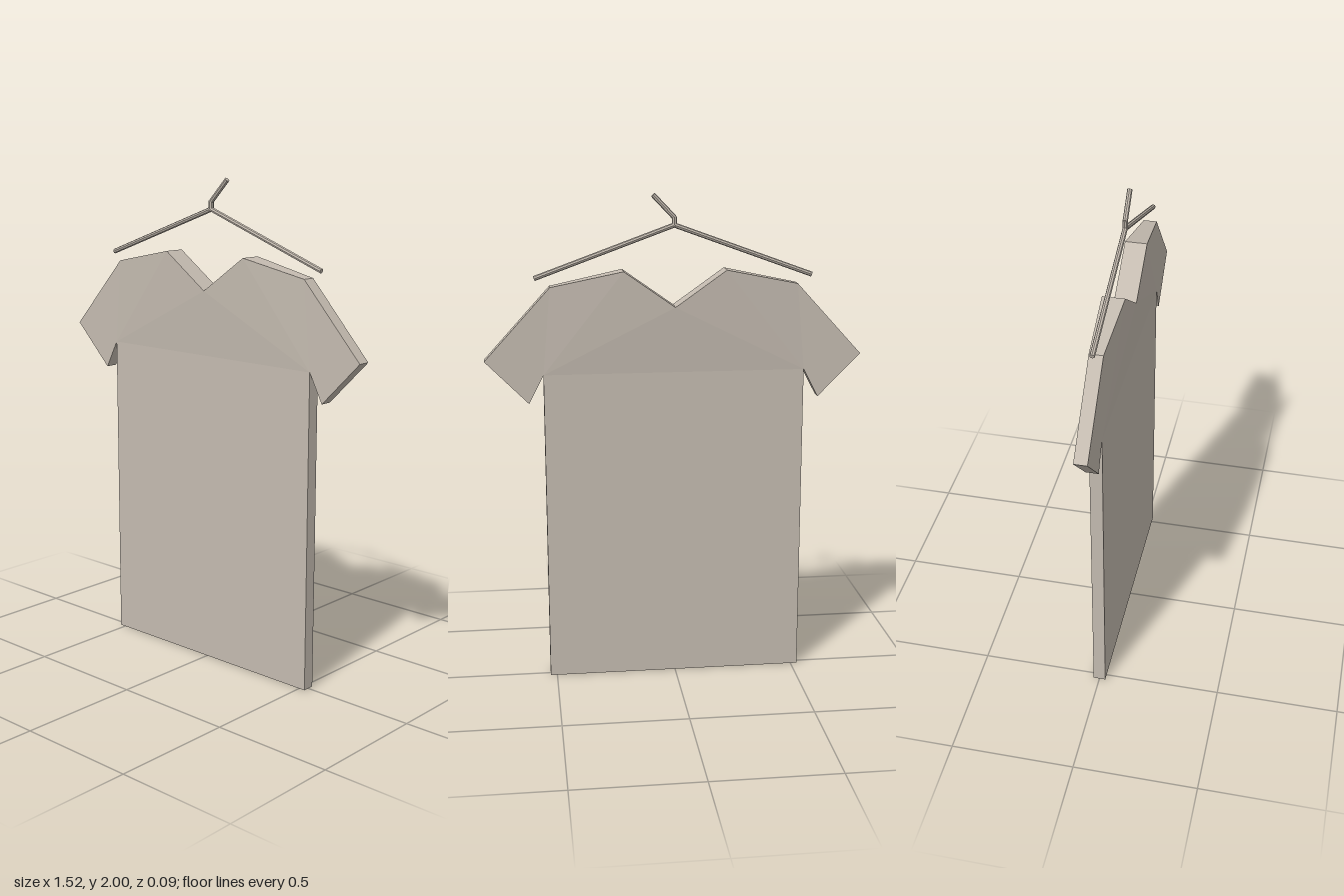
import * as THREE from 'three';

export function createModel() {
  const group = new THREE.Group();
  const cloth = new THREE.MeshStandardMaterial({ color: 0xc4bbb0, flatShading: true });
  cloth.name = 'warmGrey';

  // Shirt: left half outline as [x, y, half thickness], hem to neck
  const half = [
    [0.527, 0, 0.025],     // hem
    [0.527, 1.29, 0.025],  // armpit
    [0.587, 1.175, 0.025], // cuff bottom
    [0.76, 1.35, 0.026],   // cuff top
    [0.495, 1.64, 0.027],  // shoulder
    [0.205, 1.70, 0.044],  // collar
    [0, 1.555, 0.044],     // neck point
  ];
  const mirrored = half.slice(0, -1).reverse().map(([x, y, z]) => [-x, y, z]);
  const outline = [...half, ...mirrored];
  const faces = [
    [0, 1, 11], [0, 11, 12], [1, 6, 11],             // body
    [1, 2, 3], [1, 3, 4], [1, 4, 5], [1, 5, 6],      // left sleeve and shoulder
    [6, 7, 11], [7, 8, 11], [8, 9, 11], [9, 10, 11], // right sleeve and shoulder
  ];
  const front = (i) => outline[i];
  const back = (i) => [outline[i][0], outline[i][1], -outline[i][2]];
  const points = [];
  for (const [a, b, c] of faces) {
    points.push(front(a), front(b), front(c), back(a), back(c), back(b));
  }
  // Edge walls around the outline
  outline.forEach((_, i) => {
    const j = (i + 1) % outline.length;
    points.push(front(i), back(i), back(j), front(i), back(j), front(j));
  });
  const geometry = new THREE.BufferGeometry();
  geometry.setAttribute('position', new THREE.Float32BufferAttribute(points.flat(), 3));
  geometry.computeVertexNormals();
  const shirt = new THREE.Mesh(geometry, cloth);
  shirt.name = 'shirt';
  group.add(shirt);

  // Hanger: thin straight rods
  const hanger = new THREE.Group();
  hanger.name = 'hanger';
  const rod = (name, x1, y1, x2, y2) => {
    const a = new THREE.Vector3(x1, y1, 0);
    const b = new THREE.Vector3(x2, y2, 0);
    const dir = b.clone().sub(a);
    const mesh = new THREE.Mesh(new THREE.CylinderGeometry(0.01, 0.01, dir.length(), 8), cloth);
    mesh.name = name;
    mesh.position.copy(a).add(b).multiplyScalar(0.5);
    mesh.quaternion.setFromUnitVectors(new THREE.Vector3(0, 1, 0), dir.normalize());
    hanger.add(mesh);
  };
  rod('leftArm', 0, 1.875, 0.555, 1.673);
  rod('rightArm', 0, 1.875, -0.555, 1.673);
  rod('hookStem', 0, 1.87, 0, 1.908);
  rod('hookTip', 0, 1.905, 0.084, 1.993);
  group.add(hanger);

  return group;
}
